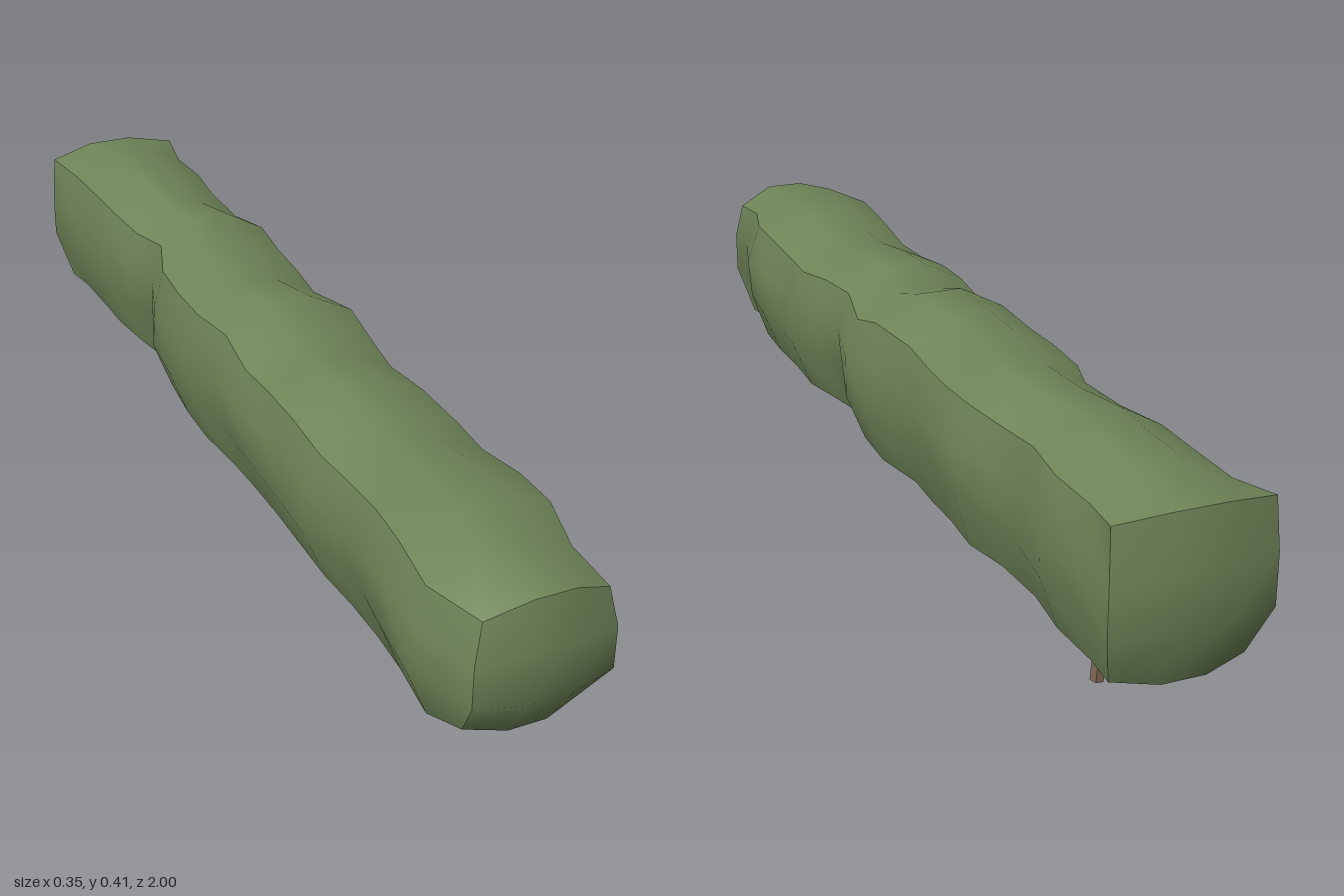
import * as THREE from 'three';

// Outline of the hedge along its length: [z, right x], [z, left x], [z, y]
const POS_X = [[-1, .14], [-.87, .15], [-.8, .16], [-.65, .14], [-.5, .145], [-.43, .165], [-.25, .16], [-.12, .145],
  [0, .17], [.1, .17], [.22, .143], [.42, .172], [.52, .163], [.6, .172], [.73, .176], [.85, .14], [1, .13]];
const NEG_X = [[-1, -.145], [-.87, -.15], [-.65, -.145], [-.53, -.13], [-.43, -.112], [-.33, -.15], [-.2, -.16],
  [0, -.15], [.3, -.156], [.42, -.156], [.52, -.147], [.65, -.155], [.86, -.178], [1, -.127]];
const TOP = [[-1, .385], [-.87, .405], [-.65, .41], [-.53, .4], [-.43, .41], [-.33, .4], [-.1, .4], [0, .413],
  [.1, .382], [.22, .395], [.32, .395], [.43, .38], [.55, .38], [.65, .395], [.8, .395], [1, .37]];
const BOTTOM = [[-1, .075], [-.33, .08], [-.12, .065], [0, .067], [.1, .076], [.22, .085], [.32, .08],
  [.45, .07], [.52, .07], [.73, .083], [1, .082]];
const STATIONS = [-1, -.87, -.76, -.65, -.53, -.43, -.33, -.22, -.12, 0, .1, .22, .32, .43, .53, .64, .74, .86, 1];
const STEPS = [-1, -1 / 3, 1 / 3, 1];

function sample(table, z) {
  for (let i = 1; i < table.length; i++) {
    const [z0, a] = table[i - 1], [z1, b] = table[i];
    if (z <= z1) return a + (b - a) * (z - z0) / (z1 - z0);
  }
  return table[table.length - 1][1];
}

// Point of a rounded-square section; s runs across, t runs up (both -1..1)
function hedgePoint(s, t, z) {
  const r = sample(POS_X, z), l = sample(NEG_X, z), top = sample(TOP, z), bot = sample(BOTTOM, z);
  const end = Math.abs(z) === 1;
  const wave = Math.sin(z * 11 + s * 2) * .06;
  let px = t === 1 ? .83 : t === -1 ? .76 : 1 - Math.max(0, t > 0 ? wave : -wave);
  if (end) px = z > 0 ? (t === 1 ? .88 : t === -1 ? .84 : 1) : (t === 1 ? 1 : t === -1 ? .85 : 1.03);
  let py = 1;
  if (Math.abs(s) === 1) py = t < 0 ? .93 : end ? (z > 0 ? .77 : .9) : .73;
  const x = (r + l) / 2 + s * (r - l) / 2 * px;
  const y = (top + bot) / 2 + t * (top - bot) / 2 * py;
  // pull the rims of both ends inward so the caps bulge
  let inset = 0;
  if (end) {
    inset += Math.abs(s) === 1 ? .022 : 0;
    inset += t === 1 ? .01 : t === -1 ? (z > 0 ? .06 : .04) : 0;
  }
  return [x, y, z - Math.sign(z) * inset];
}

// Smooth grid patch; separate patches keep the edges between them sharp
function patch(name, us, vs, at, material) {
  const positions = [], index = [], n = us.length;
  for (const v of vs) for (const u of us) positions.push(...at(u, v));
  for (let j = 0; j < vs.length - 1; j++) {
    for (let i = 0; i < n - 1; i++) {
      const a = j * n + i, b = a + 1, c = a + n, d = c + 1;
      index.push(a, b, d, a, d, c);
    }
  }
  const geometry = new THREE.BufferGeometry();
  geometry.setAttribute('position', new THREE.Float32BufferAttribute(positions, 3));
  geometry.setIndex(index);
  geometry.computeVertexNormals();
  const mesh = new THREE.Mesh(geometry, material);
  mesh.name = name;
  return mesh;
}

// Short five-sided stem between two points
function twig(from, to, material) {
  const a = new THREE.Vector3(...from), b = new THREE.Vector3(...to);
  const dir = b.clone().sub(a);
  const mesh = new THREE.Mesh(new THREE.CylinderGeometry(.014, .012, dir.length(), 5), material);
  mesh.position.copy(a).add(b).multiplyScalar(.5);
  mesh.quaternion.setFromUnitVectors(new THREE.Vector3(0, 1, 0), dir.normalize());
  mesh.name = 'twig';
  return mesh;
}

export function createModel() {
  const group = new THREE.Group();
  group.name = 'hedge';
  const leaf = new THREE.MeshStandardMaterial({ color: 0x6f8558 });
  const wood = new THREE.MeshStandardMaterial({ color: 0x7f6753, flatShading: true });
  const flip = [...STEPS].reverse();

  // Foliage: four long sides and two bulging ends
  const foliage = new THREE.Group();
  foliage.name = 'foliage';
  foliage.add(
    patch('topFoliage', flip, STATIONS, (u, z) => hedgePoint(u, 1, z), leaf),
    patch('bottomFoliage', STEPS, STATIONS, (u, z) => hedgePoint(u, -1, z), leaf),
    patch('leftFoliage', STEPS, STATIONS, (u, z) => hedgePoint(1, u, z), leaf),
    patch('rightFoliage', flip, STATIONS, (u, z) => hedgePoint(-1, u, z), leaf),
    patch('frontEnd', STEPS, STEPS, (s, t) => hedgePoint(s, t, 1), leaf),
    patch('backEnd', flip, STEPS, (s, t) => hedgePoint(s, t, -1), leaf),
  );
  group.add(foliage);

  // Twigs under the hedge: tip, then root inside the foliage
  const twigs = new THREE.Group();
  twigs.name = 'twigs';
  for (const [tip, root] of [
    [[.025, .033, .74], [.05, .11, .67]],
    [[.06, .022, .52], [.052, .11, .53]],
    [[.045, .028, .455], [.055, .11, .43]],
    [[.025, .015, .125], [.055, .11, .185]],
    [[.065, .028, -.32], [.05, .11, -.35]],
    [[.065, .003, -.8], [.055, .11, -.8]],
  ]) twigs.add(twig(tip, root, wood));
  group.add(twigs);
  return group;
}
